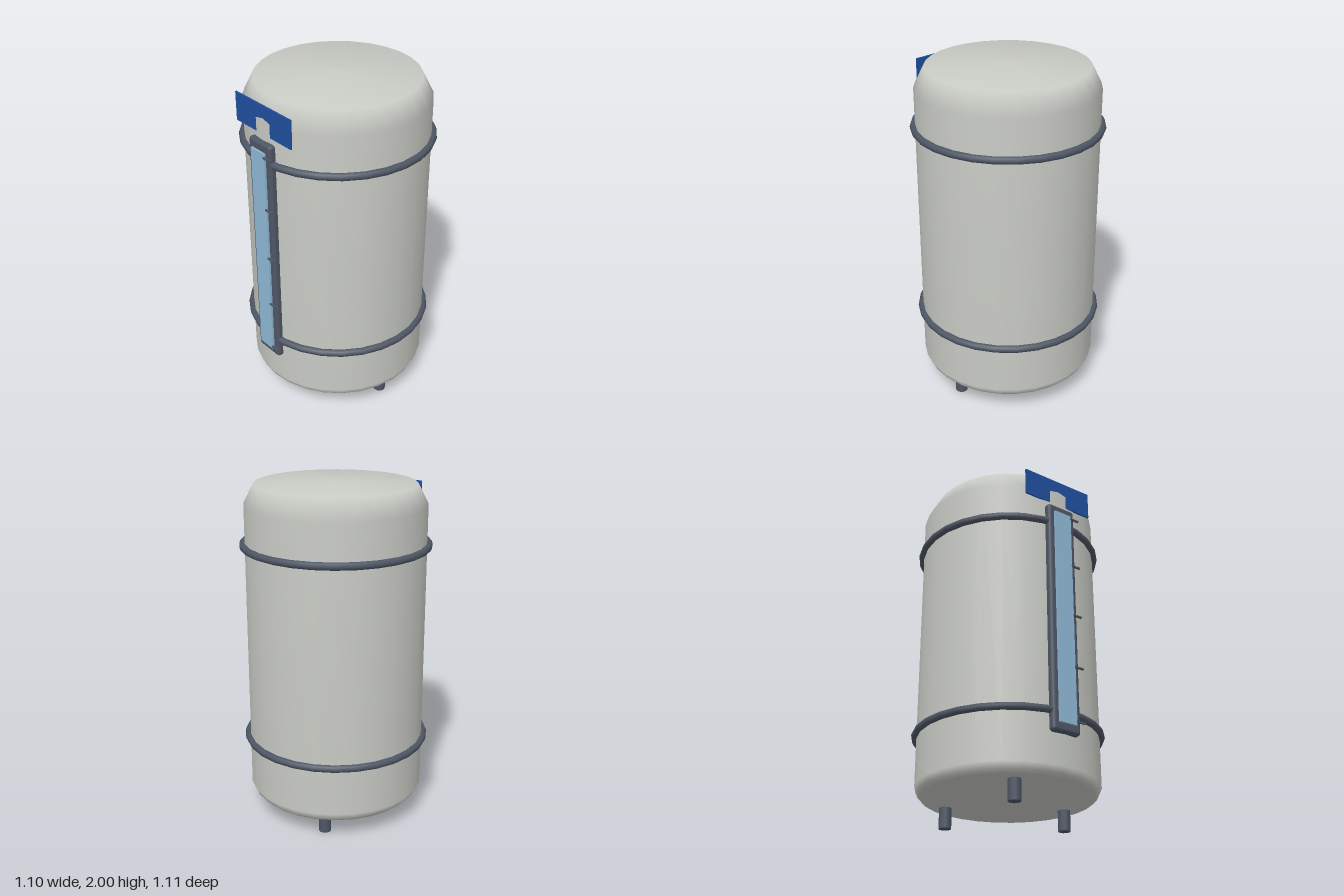
import * as THREE from 'three';
import { RoundedBoxGeometry } from 'three/addons/geometries/RoundedBoxGeometry.js';

const material = (name, color) => {
  const m = new THREE.MeshStandardMaterial({ color });
  m.name = name;
  return m;
};

export function createModel() {
  const shell = material('pale grey shell', 0xc8cac4);
  const steel = material('dark steel', 0x4f5765);
  const glass = material('light blue glass', 0x8fb9d6);
  const blue = material('blue plate', 0x2050a0);

  const tank = new THREE.Group();
  tank.name = 'tank';
  tank.position.z = -0.005;

  const add = (name, geometry, mat, x, y, z) => {
    const mesh = new THREE.Mesh(geometry, mat);
    mesh.name = name;
    mesh.position.set(x, y, z);
    tank.add(mesh);
    return mesh;
  };

  // Vessel with chamfered base and shoulder and a shallow domed lid
  const profile = [[0, 0.12], [0.485, 0.12], [0.505, 0.14], [0.52, 0.175],
    [0.52, 1.86], [0.46, 1.978], [0, 2]].map(([r, y]) => new THREE.Vector2(r, y));
  add('body', new THREE.LatheGeometry(profile, 28), shell, 0, 0, 0);

  // Hoops
  for (const y of [0.47, 1.635]) {
    add('hoop', new THREE.TorusGeometry(0.528, 0.022, 8, 28), steel, 0, y, 0).rotation.x = Math.PI / 2;
  }

  // Three legs
  for (let i = 0; i < 3; i++) {
    const a = i * Math.PI * 2 / 3;
    add('leg', new THREE.CylinderGeometry(0.036, 0.036, 0.14, 12), steel,
      0.393 * Math.cos(a), 0.07, 0.393 * Math.sin(a));
  }

  // Level gauge: rounded frame, glass strip and tick marks
  add('gaugeFrame', new RoundedBoxGeometry(0.186, 1.4, 0.07, 2, 0.02), steel, 0, 1.05, 0.51);
  add('gaugeGlass', new THREE.BoxGeometry(0.114, 1.3, 0.03), glass, 0, 1.05, 0.542);
  for (let i = 0; i < 5; i++) {
    add('gaugeTick', new THREE.BoxGeometry(0.056, 0.01, 0.01), steel, 0.081, 0.42 + i * 0.315, 0.558);
  }

  // Flat plate on the shoulder, partly sunk into the vessel
  add('namePlate', new THREE.BoxGeometry(0.46, 0.165, 0.009), blue, 0, 1.8625, 0.509);

  const model = new THREE.Group();
  model.name = 'storageTank';
  model.add(tank);
  return model;
}
